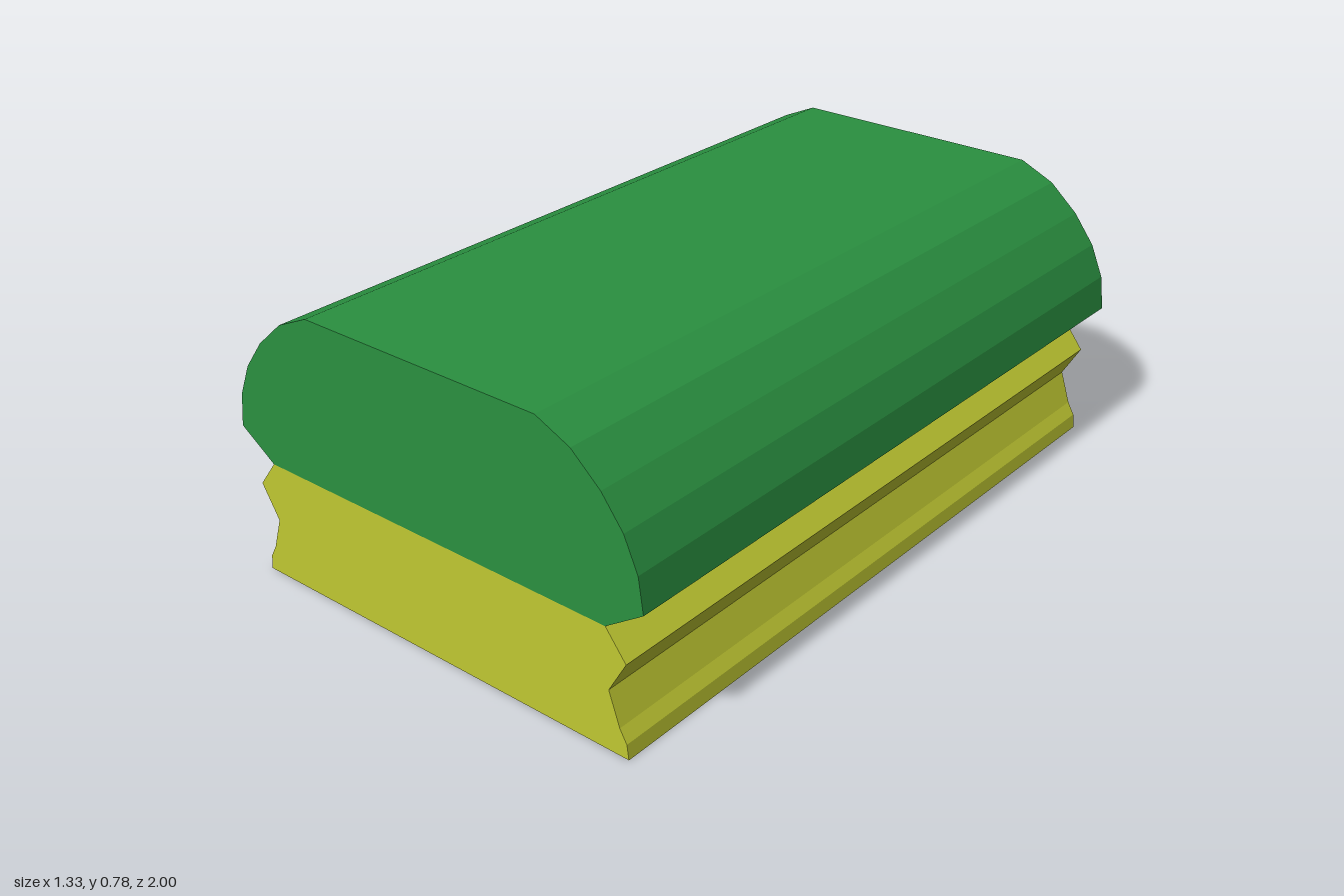
import * as THREE from 'three';

const LENGTH = 2;

// Extrudes a symmetric outline, given as its +x half from bottom to top
function mirroredBar(name, half, color) {
  const right = half.map(([x, y]) => new THREE.Vector2(x, y));
  const left = half.map(([x, y]) => new THREE.Vector2(-x, y)).reverse();
  const geometry = new THREE.ExtrudeGeometry(new THREE.Shape([...right, ...left]), {
    depth: LENGTH,
    bevelEnabled: false,
  });
  geometry.translate(0, 0, -LENGTH / 2);
  const mesh = new THREE.Mesh(geometry, new THREE.MeshStandardMaterial({ color, flatShading: true }));
  mesh.name = name;
  return mesh;
}

export function createModel() {
  const model = new THREE.Group();
  model.name = 'mouldedBar';

  // Grooved plinth
  model.add(mirroredBar('base', [
    [0.615, 0], [0.61, 0.04], [0.59, 0.075], [0.575, 0.12],
    [0.56, 0.165], [0.613, 0.255], [0.555, 0.33],
  ], 0xc0c832));

  // Rounded cap with undercut edges
  model.add(mirroredBar('cap', [
    [0.555, 0.33], [0.665, 0.403], [0.652, 0.497], [0.614, 0.585],
    [0.553, 0.665], [0.47, 0.738], [0.37, 0.783],
  ], 0x2a9040));

  return model;
}
